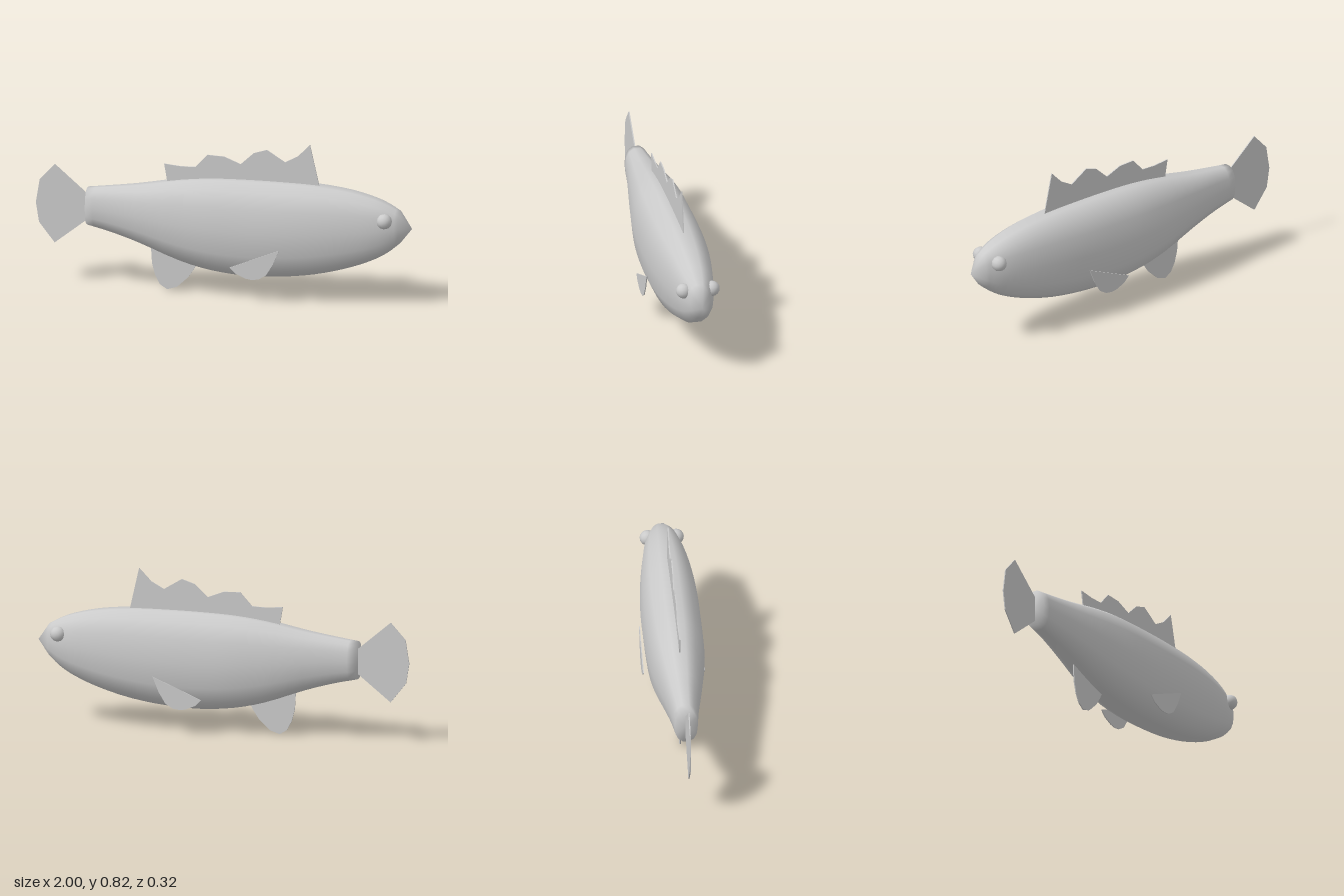
import * as THREE from 'three';

const material = new THREE.MeshStandardMaterial({ color: 0xcccccc });
const SIDES = 14;

// Body stations from tail to head: x, top y, bottom y, half width
const stations = [
  [-0.725, 0.512, 0.318, 0.06], [-0.6, 0.528, 0.29, 0.074], [-0.45, 0.549, 0.246, 0.097],
  [-0.23, 0.588, 0.168, 0.13], [-0.07, 0.606, 0.131, 0.147], [0.115, 0.613, 0.114, 0.153],
  [0.3, 0.614, 0.121, 0.153], [0.49, 0.61, 0.146, 0.143], [0.676, 0.591, 0.194, 0.122],
  [0.81, 0.56, 0.247, 0.098], [0.88, 0.533, 0.288, 0.077], [0.937, 0.503, 0.335, 0.052],
];
const NOSE = [1, 0.414, 0];

function bodyGeometry() {
  // Smooth the stations along the length
  const upper = new THREE.CatmullRomCurve3(stations.map(([x, top, , w]) => new THREE.Vector3(x, top, w)), false, 'centripetal');
  const lower = new THREE.CatmullRomCurve3(stations.map(([x, , low, w]) => new THREE.Vector3(x, low, w)), false, 'centripetal');
  const rings = (stations.length - 1) * 3;
  const round = (v) => Math.sign(v) * Math.abs(v) ** 0.85; // slightly squared oval
  const positions = [];
  const index = [];

  for (let i = 0; i <= rings; i++) {
    const a = upper.getPoint(i / rings);
    const b = lower.getPoint(i / rings);
    const middle = (a.y + b.y) / 2;
    const half = (a.y - b.y) / 2 / 0.979;
    for (let j = 0; j < SIDES; j++) {
      const t = (j / SIDES) * Math.PI * 2;
      positions.push((a.x + b.x) / 2, middle + half * round(Math.sin(t)), a.z * round(Math.cos(t)));
    }
  }
  const tailCentre = positions.length / 3;
  positions.push(-0.725, 0.415, 0, ...NOSE);

  for (let j = 0; j < SIDES; j++) {
    const k = (j + 1) % SIDES;
    for (let i = 0; i < rings; i++) {
      const p = i * SIDES;
      const q = p + SIDES;
      index.push(p + j, q + j, q + k, p + j, q + k, p + k);
    }
    const last = rings * SIDES;
    index.push(tailCentre, j, k, last + j, tailCentre + 1, last + k);
  }

  const geometry = new THREE.BufferGeometry();
  geometry.setAttribute('position', new THREE.Float32BufferAttribute(positions, 3));
  geometry.setIndex(index);
  geometry.computeVertexNormals();
  return geometry;
}

// Thin plate cut from an outline in the xy plane, centred on z
function fin(name, outline, z = 0, depth = 0.006) {
  const shape = new THREE.Shape(outline.map(([x, y]) => new THREE.Vector2(x, y)));
  const geometry = new THREE.ExtrudeGeometry(shape, { depth, bevelEnabled: false });
  geometry.translate(0, 0, z - depth / 2);
  const mesh = new THREE.Mesh(geometry, material);
  mesh.name = name;
  return mesh;
}

export function createModel() {
  const fish = new THREE.Group();
  fish.name = 'fish';

  const body = new THREE.Mesh(bodyGeometry(), material);
  body.name = 'body';
  fish.add(body);

  // Spiny back fin
  fish.add(fin('dorsalFin', [
    [-0.3, 0.565], [-0.318, 0.667], [-0.23, 0.659], [-0.152, 0.661], [-0.088, 0.73], [0, 0.727],
    [0.088, 0.693], [0.158, 0.757], [0.227, 0.779], [0.324, 0.72], [0.393, 0.757], [0.457, 0.822],
    [0.508, 0.6], [0.2, 0.6], [-0.1, 0.59],
  ]));

  // Tail fan
  fish.add(fin('tailFin', [
    [-0.7, 0.455], [-0.9, 0.623], [-0.98, 0.537], [-1, 0.414], [-0.983, 0.31], [-0.9, 0.206], [-0.7, 0.362],
  ]));

  // Lower rear fin
  fish.add(fin('analFin', [
    [-0.388, 0.25], [-0.386, 0.18], [-0.382, 0.132], [-0.366, 0.072], [-0.34, 0.024], [-0.302, 0],
    [-0.249, 0.017], [-0.19, 0.072], [-0.163, 0.112], [-0.13, 0.17],
  ]));

  for (const side of [1, -1]) {
    const label = side > 0 ? 'front' : 'back';

    // Side fins
    fish.add(fin(label + 'PectoralFin', [
      [0.334, 0.291], [0.072, 0.184], [0.104, 0.153], [0.155, 0.131], [0.188, 0.126],
      [0.225, 0.131], [0.265, 0.155], [0.302, 0.215],
    ], side * 0.157, 0.005));

    // Eyes
    const eye = new THREE.Mesh(new THREE.SphereGeometry(0.04, 12, 8), material);
    eye.name = label + 'Eye';
    eye.position.set(0.872, 0.463, side * 0.074);
    eye.rotation.x = Math.PI / 2;
    fish.add(eye);
  }
  return fish;
}
